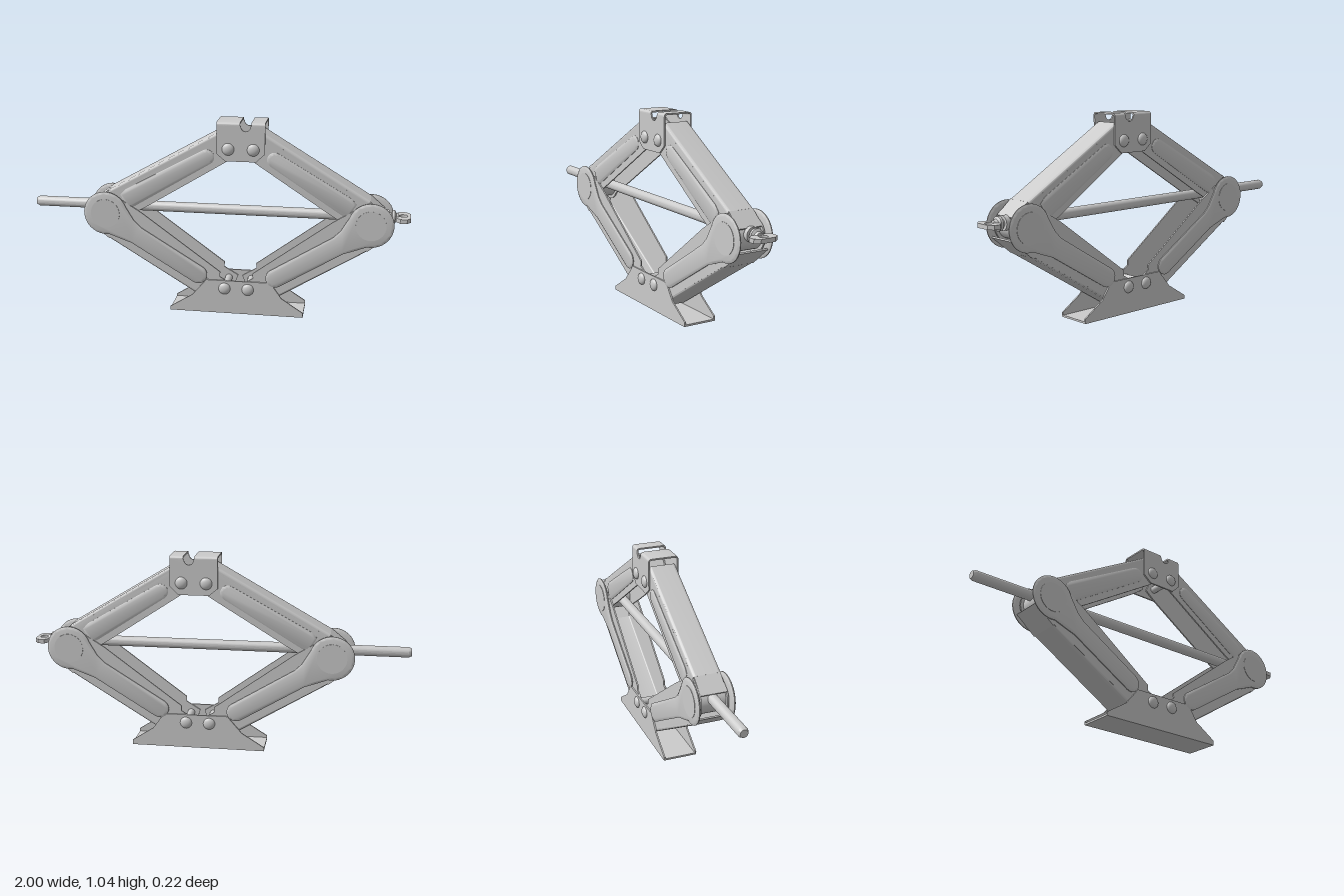
import * as THREE from 'three';
import { toCreasedNormals } from 'three/addons/utils/BufferGeometryUtils.js';

const grey = new THREE.MeshStandardMaterial({ color: 0xcccccc, side: THREE.DoubleSide });

function add(parent, name, geometry, x = 0, y = 0, z = 0) {
  const mesh = new THREE.Mesh(geometry, grey);
  mesh.name = name;
  mesh.position.set(x, y, z);
  parent.add(mesh);
  return mesh;
}

const polygon = pts => new THREE.Shape(pts.map(p => new THREE.Vector2(p[0], p[1])));

// points of an arc, angles in degrees
function arc(cx, cy, r, a0, a1, n = 16) {
  return Array.from({ length: n + 1 }, (_, i) => {
    const a = THREE.MathUtils.degToRad(a0 + (a1 - a0) * i / n);
    return [cx + r * Math.cos(a), cy + r * Math.sin(a)];
  });
}

// sheet of the given thickness, optionally with bevelled rim
function sheet(shape, depth, bevel = 0, inset = 0) {
  const g = new THREE.ExtrudeGeometry(shape, {
    depth: depth - 2 * bevel, curveSegments: 8, bevelEnabled: bevel > 0,
    bevelThickness: bevel, bevelSize: inset, bevelOffset: -inset, bevelSegments: 1,
  });
  g.translate(0, 0, bevel);
  return toCreasedNormals(g, 0.6);
}

// the same plate on both z sides, between z0 and z1
function plates(parent, name, pts, z0, z1, bevel, inset) {
  const g = sheet(polygon(pts), z1 - z0, bevel, inset);
  add(parent, name, g, 0, 0, z0);
  add(parent, name, g, 0, 0, -z1);
}

// folded sheet with rounded corners, running along x from x0 to x1
function channel(half, y0, y1, x0, x1, t = 0.008, r = 0.016) {
  const s = new THREE.Shape();
  s.moveTo(-half, y0);
  s.lineTo(-half + t, y0);
  s.lineTo(-half + t, y1 - r);
  s.quadraticCurveTo(-half + t, y1 - t, -half + r, y1 - t);
  s.lineTo(half - r, y1 - t);
  s.quadraticCurveTo(half - t, y1 - t, half - t, y1 - r);
  s.lineTo(half - t, y0);
  s.lineTo(half, y0);
  s.lineTo(half, y1 - r);
  s.quadraticCurveTo(half, y1, half - r, y1);
  s.lineTo(-half + r, y1);
  s.quadraticCurveTo(-half, y1, -half, y1 - r);
  return sheet(s, x1 - x0).rotateY(Math.PI / 2).translate(x0, 0, 0);
}

// flat strip across z between two points of the side profile
function bentLip(parent, a, b, half) {
  const dx = b[0] - a[0], dy = b[1] - a[1];
  const lip = add(parent, 'bentLip', new THREE.BoxGeometry(Math.hypot(dx, dy), 0.008, half * 2),
    (a[0] + b[0]) / 2, (a[1] + b[1]) / 2);
  lip.rotation.z = Math.atan2(dy, dx);
}

// group whose x runs from one pin to the other and whose y points outward
function armFrame(parent, name, from, to, outward) {
  const g = new THREE.Group();
  g.name = name;
  const u = new THREE.Vector3(to[0] - from[0], to[1] - from[1], 0);
  const length = u.length();
  u.normalize();
  const v = new THREE.Vector3(-u.y, u.x, 0);
  if (v.y * outward < 0) v.negate();
  const w = new THREE.Vector3().crossVectors(u, v);
  g.quaternion.setFromRotationMatrix(new THREE.Matrix4().makeBasis(u, v, w));
  g.position.set(from[0], from[1], 0);
  parent.add(g);
  return { g, length };
}

function upperArm(parent, name, from, to) {
  const { g, length: L } = armFrame(parent, name, from, to, 1);
  plates(g, 'flange', [
    [0.07, 0.085], [L + 0.01, 0.085], [L + 0.045, 0.04], [L + 0.035, -0.045],
    [L - 0.05, -0.055], [0.22, -0.072], ...arc(0, 0, 0.085, -60, -270),
  ], 0.065, 0.073);
  add(g, 'web', channel(0.073, 0.06, 0.1, 0.07, L + 0.012));
  bentLip(g, [0.072, 0.096], [-0.03, 0.078], 0.068);
  // raised stiffening rib
  plates(g, 'rib', [
    ...arc(L - 0.12, 0.015, 0.04, -90, 90, 10), [0.16, 0.062], [0.12, 0.05], [0.12, -0.035], [0.16, -0.04],
  ], 0.069, 0.083, 0.006, 0.012);
}

function lowerArm(parent, name, from, to) {
  const { g, length: L } = armFrame(parent, name, from, to, -1);
  plates(g, 'flange', [
    [0.04, 0.108], [L + 0.03, 0.1], [L + 0.05, 0.03], [L + 0.035, -0.04], [L - 0.055, -0.04],
    [L - 0.068, -0.064], [0.16, -0.108], [0.04, -0.108],
  ], 0.075, 0.083);
  add(g, 'web', channel(0.083, 0.075, 0.115, 0.086, L + 0.03));
  bentLip(g, [0.088, 0.111], [-0.05, 0.092], 0.083);
  // raised pivot end flowing into a long rib
  plates(g, 'pivotEndAndRib', [
    ...arc(0, 0, 0.117, 50, 310, 28), [0.15, -0.05], [0.2, -0.038],
    ...arc(L - 0.16, 0.013, 0.05, -90, 90, 10), [0.2, 0.064], [0.15, 0.075],
  ], 0.081, 0.098, 0.006, 0.012);
}

function rivetPair(parent, [x, y], z) {
  const dome = new THREE.SphereGeometry(0.032, 20, 8, 0, Math.PI * 2, 0, Math.PI / 2).scale(1, 0.55, 1);
  for (const s of [1, -1]) add(parent, 'rivet', dome, x, y, s * z).rotation.x = s * Math.PI / 2;
  add(parent, 'rivetShank', new THREE.CylinderGeometry(0.02, 0.02, z * 2, 16), x, y).rotation.x = Math.PI / 2;
}

export function createModel() {
  const model = new THREE.Group();
  model.name = 'scissorLift';
  const sides = [
    { side: 'right', pivot: [-0.595, 0.53], top: [0.06, 0.9], foot: [0.045, 0.14] },
    { side: 'left', pivot: [0.8, 0.53], top: [0.19, 0.9], foot: [0.17, 0.14] },
  ];

  // arms, pivots and rivets
  for (const { side, pivot, top, foot } of sides) {
    upperArm(model, side + 'UpperArm', pivot, top);
    lowerArm(model, side + 'LowerArm', pivot, foot);
    add(model, side + 'Trunnion', new THREE.CylinderGeometry(0.068, 0.068, 0.17, 32), ...pivot).rotation.x = Math.PI / 2;
    add(model, side + 'PivotCap', new THREE.CylinderGeometry(0.078, 0.078, 0.2, 32), ...pivot).rotation.x = Math.PI / 2;
    model.children.at(-1).geometry = new THREE.LatheGeometry([[0, -0.1], [0.078, -0.1], [0.078, -0.088], [0.06, -0.088],
      [0.06, 0.088], [0.078, 0.088], [0.078, 0.1], [0, 0.1]].map(p => new THREE.Vector2(...p)), 32);
    model.children.at(-1).geometry = toCreasedNormals(model.children.at(-1).geometry, 0.6);
    rivetPair(model, top, 0.08);
    rivetPair(model, foot, 0.0915);
  }

  // base: two side plates on a floor
  const base = new THREE.Group();
  base.name = 'base';
  model.add(base);
  plates(base, 'baseSide', [
    [-0.25, 0], [0.465, 0], [0.465, 0.025], [0.35, 0.1], [0.29, 0.185],
    [-0.055, 0.185], [-0.07, 0.165], [-0.13, 0.095], [-0.25, 0.02],
  ], 0.084, 0.092);
  add(base, 'baseFloor', new THREE.BoxGeometry(0.715, 0.01, 0.17), 0.1075, 0.005);

  // head: two notched side plates and a folded top in two pieces
  const head = new THREE.Group();
  head.name = 'head';
  model.add(head);
  plates(head, 'headSide', [
    [0, 0.875], [0.045, 0.837], [0.205, 0.837], [0.25, 0.88], [0.25, 1.024],
    [0.177, 1.024], ...arc(0.15, 1.02, 0.025, 0, -180, 10), [0.123, 1.024], [0, 1.024],
  ], 0.073, 0.081);
  add(head, 'headTop', channel(0.081, 1.015, 1.04, 0, 0.121));
  add(head, 'headTop', channel(0.081, 1.015, 1.04, 0.179, 0.25));

  // screw: one turned profile along x
  const profile = [[0, -1], [0.02, -1], [0.027, -0.985], [0.027, 0.865], [0.037, 0.865],
    [0.037, 0.89], [0.022, 0.89], [0.022, 0.9], [0.036, 0.905], [0.036, 0.918], [0.024, 0.925], [0.02, 0.94], [0, 0.94]];
  const screw = new THREE.LatheGeometry(profile.map(p => new THREE.Vector2(...p)), 24);
  add(model, 'screw', toCreasedNormals(screw.rotateZ(-Math.PI / 2), 0.5), 0, 0.555);

  // flat eye for the crank
  const eye = polygon([[0.925, -0.04], [0.945, -0.066], [0.98, -0.066], [1, -0.04],
    [1, 0.04], [0.98, 0.066], [0.945, 0.066], [0.925, 0.04]]);
  eye.holes.push(new THREE.Path().absarc(0.963, 0, 0.022, 0, Math.PI * 2, true));
  add(model, 'crankEye', sheet(eye, 0.022).rotateX(-Math.PI / 2), 0, 0.542);
  return model;
}
